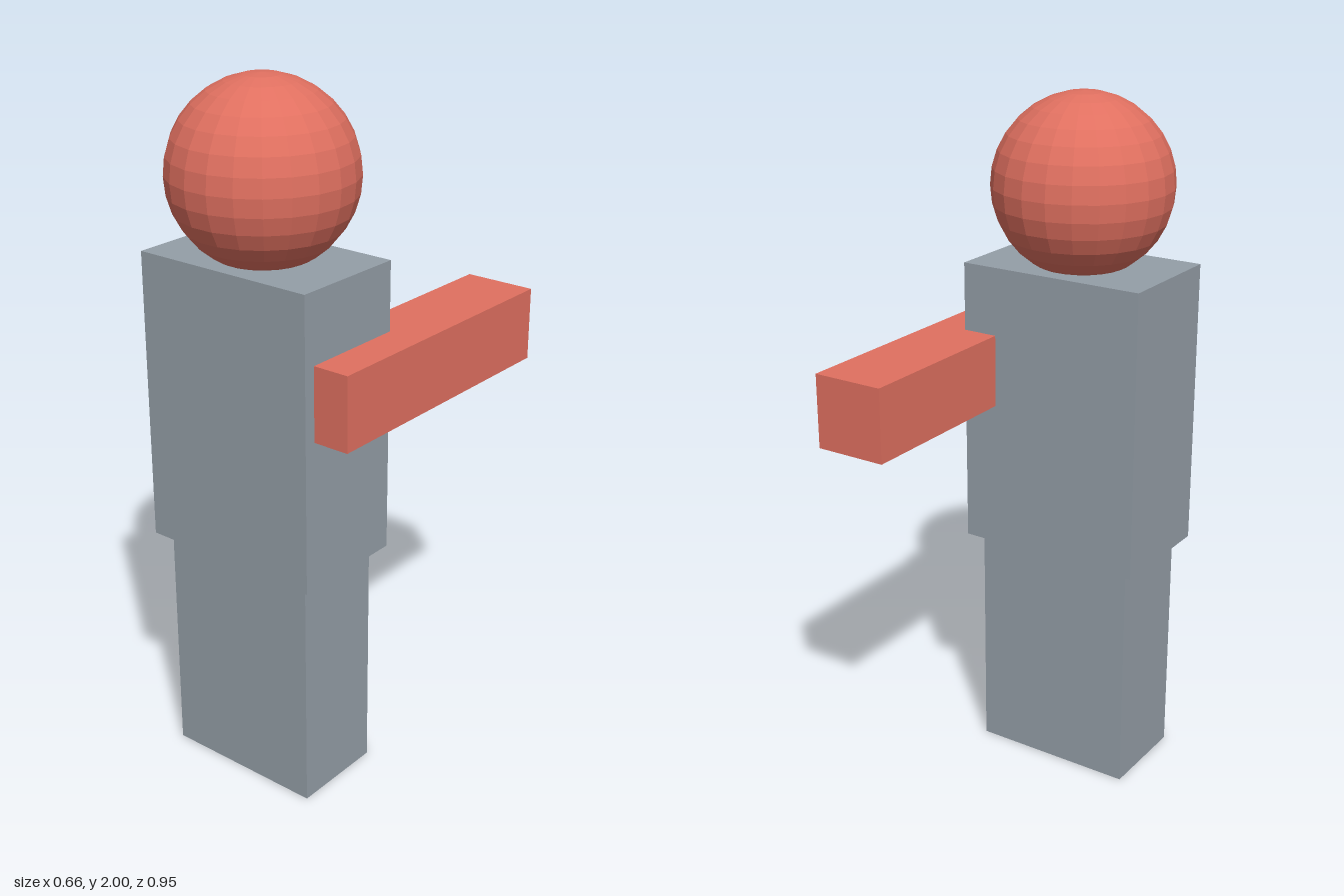
import * as THREE from 'three';

const red = new THREE.MeshStandardMaterial({ color: 0xe07060, flatShading: true });
const grey = new THREE.MeshStandardMaterial({ color: 0x949ea7, flatShading: true });

export function createModel() {
  const figure = new THREE.Group();
  figure.name = 'blockFigure';

  const addPart = (name, geometry, material, x, y, z) => {
    const part = new THREE.Mesh(geometry, material);
    part.name = name;
    part.position.set(x, y, z);
    figure.add(part);
  };

  // Legs as one block, with the wider torso on top
  addPart('legs', new THREE.BoxGeometry(0.486, 0.695, 0.278), grey, -0.054, 0.3475, 0.219);
  addPart('torso', new THREE.BoxGeometry(0.556, 0.832, 0.347), grey, -0.054, 1.11, 0.219);

  // Single arm, sunk into the left side and reaching backwards
  addPart('arm', new THREE.BoxGeometry(0.209, 0.209, 0.835), red, 0.2255, 1.226, -0.0595);

  // Faceted head, resting slightly inside the torso
  addPart('head', new THREE.SphereGeometry(0.254, 22, 16), red, -0.054, 1.746, 0.219);

  return figure;
}
